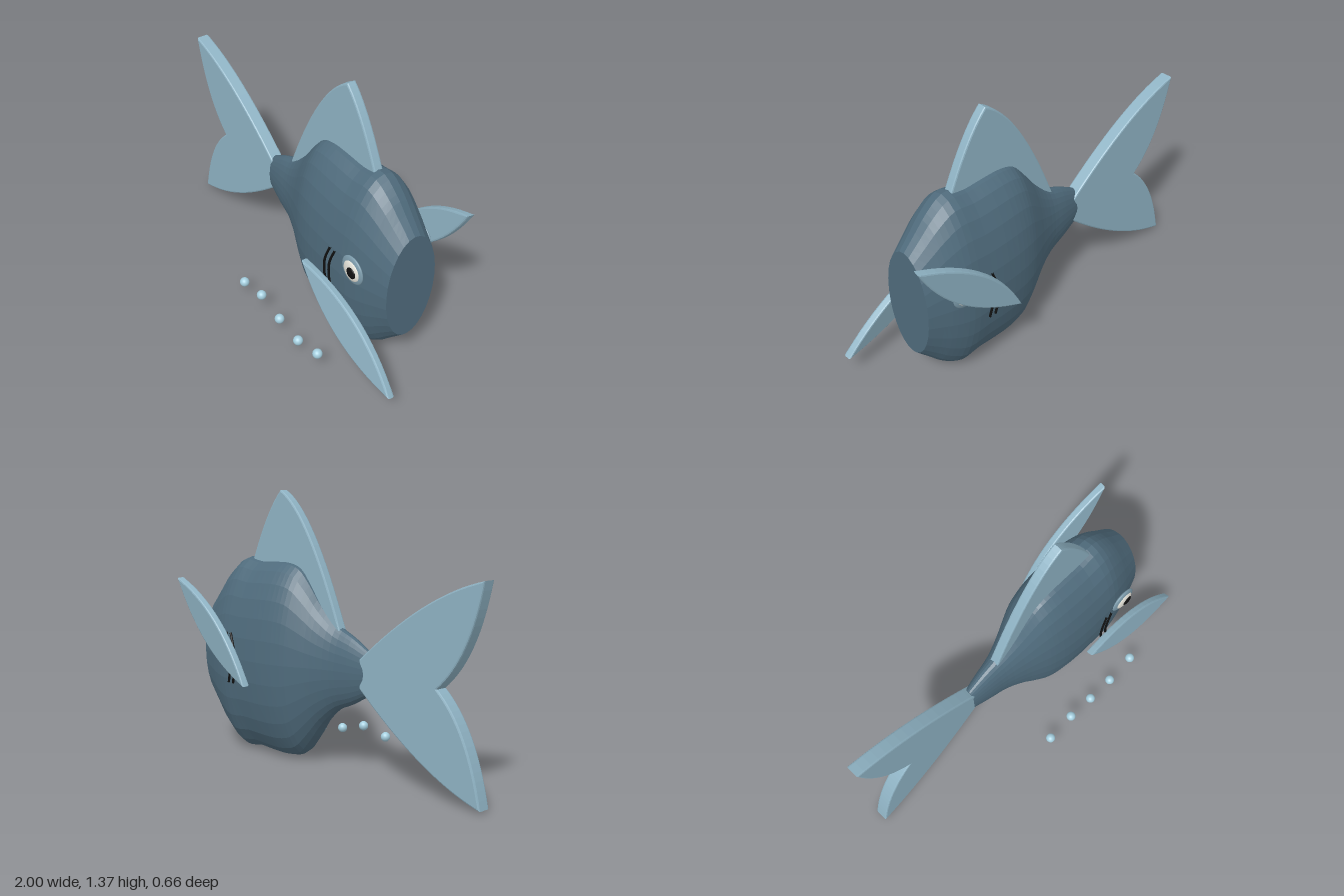
import * as THREE from 'three';

const MID_Y = 0.52, MID_Z = -0.06;
const mat = (color, opts = {}) => {
  const m = new THREE.MeshStandardMaterial(opts);
  m.color.set(color);
  return m;
};
const bodyMat = mat(0x4f6b7c, { flatShading: true });
const finMat = mat(0x8fb3c4);
const rimMat = mat(0x7d9cac);
const whiteMat = mat(0xe8e6dc);
const blackMat = mat(0x111111);
const bubbleMat = mat(0xa5cfdf);

function add(parent, name, geometry, material, x = 0, y = 0, z = 0) {
  const mesh = new THREE.Mesh(geometry, material);
  mesh.name = name;
  mesh.position.set(x, y, z);
  parent.add(mesh);
  return mesh;
}

// Flat plate with softened rims, centred on z = 0
function plate(shape, thickness) {
  const bevel = 0.008;
  const g = new THREE.ExtrudeGeometry(shape, {
    depth: thickness - 2 * bevel, curveSegments: 16,
    bevelThickness: bevel, bevelSize: bevel, bevelOffset: -bevel, bevelSegments: 2,
  });
  return g.translate(0, 0, bevel - thickness / 2);
}

// Oval-section body: a tube along x, each ring scaled to height and depth
function bodyGeometry() {
  // x, half height, half depth
  const rings = [
    [-0.3, 0.11, 0.04], [-0.2, 0.165, 0.06], [-0.1, 0.21, 0.08], [0, 0.3, 0.115],
    [0.08, 0.405, 0.15], [0.15, 0.48, 0.178], [0.23, 0.503, 0.197], [0.34, 0.503, 0.208],
    [0.45, 0.498, 0.21], [0.56, 0.51, 0.208], [0.65, 0.45, 0.19], [0.72, 0.375, 0.168],
    [0.79, 0.3, 0.145],
  ];
  const curve = new THREE.CatmullRomCurve3(rings.map((r) => new THREE.Vector3(...r)));
  const g = new THREE.CylinderGeometry(1, 1, 1, 28, 36).rotateZ(-Math.PI / 2);
  const p = g.attributes.position;
  for (let i = 0; i < p.count; i++) {
    const r = curve.getPoint(THREE.MathUtils.clamp(p.getX(i) + 0.5, 0, 1));
    p.setXYZ(i, r.x, p.getY(i) * r.y, p.getZ(i) * r.z);
  }
  g.computeVertexNormals();
  return g;
}

function tailShape() {
  const s = new THREE.Shape();
  s.moveTo(-0.27, 0.59);
  s.quadraticCurveTo(-0.67, 0.94, -1, 1.02);
  s.quadraticCurveTo(-0.93, 0.67, -0.75, 0.52);
  s.quadraticCurveTo(-0.93, 0.37, -1, 0.02);
  s.quadraticCurveTo(-0.67, 0.1, -0.27, 0.45);
  s.closePath();
  return s;
}

function dorsalShape() {
  const s = new THREE.Shape();
  s.moveTo(-0.13, 0.69);
  s.quadraticCurveTo(0.1, 1.28, 0.305, 1.38);
  s.quadraticCurveTo(0.42, 1.27, 0.54, 0.98);
  s.closePath();
  return s;
}

// Leaf outline running along +x
function leafShape(length, halfWidth) {
  const s = new THREE.Shape();
  s.moveTo(0, 0);
  s.quadraticCurveTo(length / 2, -2 * halfWidth, length, 0);
  s.quadraticCurveTo(length / 2, 2 * halfWidth, 0, 0);
  return s;
}

// Eye and gill slits of one flank, facing +z
function flank(side) {
  const group = new THREE.Group();
  const eye = new THREE.Group();
  eye.name = 'eye';
  eye.position.set(0.615, 0.605, 0.205);
  const disc = (name, r, depth, m, x, z) => {
    add(eye, name, new THREE.SphereGeometry(r, 28, 16), m, x, 0, z).scale.z = depth / r;
  };
  disc('eyeRim', 0.075, 0.016, rimMat, 0, 0);
  disc('eyeWhite', 0.056, 0.016, whiteMat, 0.002, 0.007);
  disc('pupil', 0.03, 0.01, blackMat, 0.012, 0.019);
  group.add(eye);
  for (const dx of [0, 0.035]) {
    const curve = new THREE.CatmullRomCurve3([
      new THREE.Vector3(0.47 + dx, 0.655, 0.224),
      new THREE.Vector3(0.438 + dx, 0.56, 0.23),
      new THREE.Vector3(0.436 + dx, 0.48, 0.23),
      new THREE.Vector3(0.455 + dx, 0.395, 0.226),
    ]);
    add(group, 'gillSlit', new THREE.TubeGeometry(curve, 20, 0.006, 8), blackMat);
  }
  group.name = side > 0 ? 'frontFlank' : 'backFlank';
  group.position.z = MID_Z;
  group.scale.z = side;
  return group;
}

export function createModel() {
  const model = new THREE.Group();
  model.name = 'fish';

  add(model, 'body', bodyGeometry(), bodyMat, 0, MID_Y, MID_Z);
  add(model, 'tailFin', plate(tailShape(), 0.07), finMat, 0, 0, -0.065);
  add(model, 'dorsalFin', plate(dorsalShape(), 0.05), finMat, 0, 0, MID_Z);

  // Side fins: one swept down, one swept up, both rolled slightly
  const leaf = plate(leafShape(0.77, 0.085), 0.04);
  const front = add(model, 'frontSideFin', leaf, finMat, 0.315, 0.483, 0.2);
  front.rotation.set(-0.2, 0, Math.atan2(-0.355, 0.68), 'ZYX');
  const back = add(model, 'backSideFin', leaf, finMat, 0.32, 0.4, -0.31);
  back.rotation.set(-0.15, -0.033, Math.atan2(0.51, 0.58), 'ZYX');

  model.add(flank(1), flank(-1));

  // Row of bubbles
  [0.1, 0.13, 0.09, 0.07, 0.115].forEach((y, i) => {
    add(model, 'bubble', new THREE.SphereGeometry(0.025, 20, 14), bubbleMat, -0.07 + 0.16 * i, y, 0.305);
  });
  return model;
}
